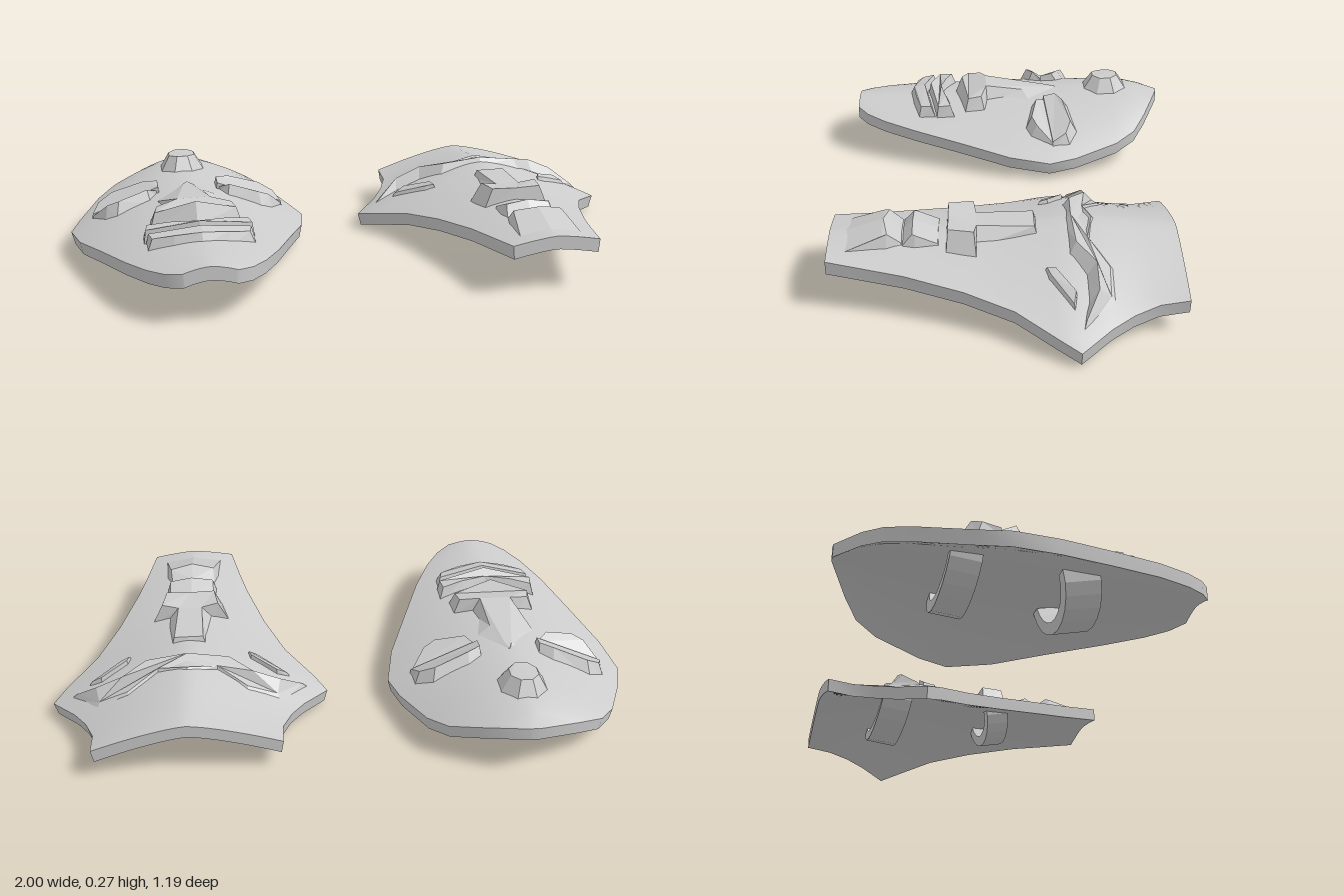
import * as THREE from 'three';
import { toCreasedNormals } from 'three/addons/utils/BufferGeometryUtils.js';

const THICK = 0.045;

function geometryFrom(positions, index) {
  const g = new THREE.BufferGeometry();
  g.setAttribute('position', new THREE.Float32BufferAttribute(positions, 3));
  g.setIndex(index);
  return g;
}

// Height of a mask at (x, z); sections are [z, halfWidth, crestY, edgeY].
function makeSurface(sections, power) {
  const at = z => {
    let i = 0;
    while (i < sections.length - 2 && z > sections[i + 1][0]) i++;
    const a = sections[i], b = sections[i + 1];
    const t = THREE.MathUtils.clamp((z - a[0]) / (b[0] - a[0]), 0, 1);
    return a.map((v, k) => v + (b[k] - v) * t);
  };
  return (x, z) => {
    const [, hw, crest, edge] = at(z);
    const t = Math.min(1, Math.abs(x) / hw);
    return crest + (edge - crest) * Math.pow(t, power);
  };
}

// Curved plate: one closed cross-section loop per section, ends capped.
function shell(sections, surface) {
  const N = 24, loop = 2 * (N + 1), pos = [], idx = [];
  for (const [z, hw] of sections) {
    for (let i = 0; i <= N; i++) {
      const x = hw * (2 * i / N - 1);
      pos.push(x, surface(x, z), z);
    }
    for (let i = N; i >= 0; i--) {
      const x = hw * (2 * i / N - 1);
      pos.push(x * 0.975, surface(x, z) - THICK, z);
    }
  }
  const last = (sections.length - 1) * loop;
  for (let r = 0; r < last; r += loop) {
    for (let i = 0; i < loop; i++) {
      const j = (i + 1) % loop;
      idx.push(r + i, r + loop + i, r + j, r + j, r + loop + i, r + loop + j);
    }
  }
  for (let i = 0; i < N; i++) {
    const bA = loop - 1 - i, bB = bA - 1;
    idx.push(i, i + 1, bA, i + 1, bB, bA);
    idx.push(last + i, last + bA, last + i + 1, last + i + 1, last + bA, last + bB);
  }
  return toCreasedNormals(geometryFrom(pos, idx), 0.7);
}

// Raised feature: base ring [x, z] sunk in the surface, top ring [x, z, height above it].
function relief(surface, base, top) {
  const n = base.length, pos = [], idx = [];
  base.forEach(([x, z]) => pos.push(x, surface(x, z) - 0.012, z));
  top.forEach(([x, z, h]) => pos.push(x, surface(x, z) + h, z));
  const ccw = THREE.ShapeUtils.area(base.map(([x, z]) => new THREE.Vector2(x, -z))) > 0;
  const tri = (a, b, c) => idx.push(a, b, c);
  for (let i = 0; i < n; i++) {
    const j = (i + 1) % n;
    if (ccw) { tri(i, j, n + i); tri(j, n + j, n + i); }
    else { tri(j, i, n + i); tri(n + j, j, n + i); }
  }
  const flat = top.map(([x, z]) => new THREE.Vector2(x, -z));
  for (const [a, b, c] of THREE.ShapeUtils.triangulateShape(flat, [])) {
    const up = THREE.ShapeUtils.area([flat[a], flat[b], flat[c]]) > 0;
    if (up) tri(n + a, n + b, n + c); else tri(n + a, n + c, n + b);
  }
  return geometryFrom(pos, idx);
}

// Half-ring strap hanging under the plate.
function strap(rx, bottom, topY, z, width, tilt) {
  const ry = topY - bottom, s = new THREE.Shape();
  s.absellipse(0, 0, rx, ry, Math.PI, 2 * Math.PI, false);
  s.absellipse(0, 0, rx - 0.04, ry - 0.04, 2 * Math.PI, Math.PI, true);
  const g = new THREE.ExtrudeGeometry(s, { depth: width, bevelEnabled: false, curveSegments: 5 });
  return g.translate(0, 0, -width / 2).rotateX(tilt).translate(0, topY, z);
}

const flipX = points => points.map(([x, ...rest]) => [-x, ...rest]);
// Completes a half outline (running from the middle outwards) across x = 0.
const symmetric = half => [...half, ...flipX(half).reverse().filter(p => p[0] !== 0)];

export function createModel() {
  const model = new THREE.Group();
  const smooth = new THREE.MeshStandardMaterial({ color: 0xcccccc });
  const faceted = new THREE.MeshStandardMaterial({ color: 0xcccccc, flatShading: true });

  function makeMask(name, x, sections, power) {
    const group = new THREE.Group(), surface = makeSurface(sections, power);
    group.name = name;
    group.position.x = x;
    model.add(group);
    const add = (part, geometry, material = faceted) => {
      const mesh = new THREE.Mesh(geometry, material);
      mesh.name = part;
      group.add(mesh);
    };
    add('plate', shell(sections, surface), smooth);
    return {
      add,
      centre: (part, base, top) => add(part, relief(surface, symmetric(base), symmetric(top))),
      pair: (part, base, top) => {
        add('left' + part, relief(surface, base, top));
        add('right' + part, relief(surface, flipX(base), flipX(top)));
      },
      surface,
    };
  }

  // Oval mask
  const oval = makeMask('ovalMask', -0.585, [
    [-0.6, 0.012, 0.205, 0.203], [-0.535, 0.165, 0.22, 0.165], [-0.485, 0.255, 0.227, 0.135],
    [-0.41, 0.315, 0.232, 0.112], [-0.25, 0.385, 0.225, 0.085], [-0.15, 0.415, 0.22, 0.078],
    [0, 0.385, 0.215, 0.092], [0.18, 0.315, 0.207, 0.12], [0.36, 0.245, 0.203, 0.145],
    [0.48, 0.185, 0.2, 0.16], [0.55, 0.135, 0.2, 0.17], [0.59, 0.085, 0.198, 0.18],
  ], 1.6);
  oval.pair('UpperEyelid',
    [[0.1, -0.14], [0.1, -0.21], [0.145, -0.24], [0.275, -0.268], [0.335, -0.235], [0.342, -0.165]],
    [[0.105, -0.14, 0.022], [0.105, -0.185, 0.03], [0.15, -0.21, 0.036], [0.265, -0.235, 0.04], [0.315, -0.215, 0.034], [0.337, -0.165, 0.016]]);
  oval.pair('LowerEyelid',
    [[0.105, -0.145], [0.342, -0.17], [0.295, -0.08], [0.255, -0.06], [0.135, -0.088]],
    [[0.11, -0.142, 0.008], [0.335, -0.165, 0.008], [0.285, -0.105, 0.04], [0.245, -0.088, 0.042], [0.145, -0.11, 0.035]]);
  const ring = (rx, rz, h) => Array.from({ length: 8 }, (_, i) => {
    const a = (i + 0.5) * Math.PI / 4;
    return [rx * Math.cos(a), -0.39 + rz * Math.sin(a), h];
  });
  oval.add('foreheadGem', relief(oval.surface, ring(0.092, 0.098, 0), ring(0.05, 0.052, 0.047)));
  oval.centre('nose',
    [[0, -0.2], [0.035, -0.19], [0.13, -0.1], [0.085, 0.08], [0.15, 0.09], [0.155, 0.17], [0, 0.21]],
    [[0, -0.19, 0.002], [0.012, -0.16, 0.006], [0.045, -0.06, 0.016], [0.055, 0.085, 0.045], [0.125, 0.105, 0.045], [0.135, 0.155, 0.045], [0, 0.18, 0.062]]);
  oval.centre('upperLip',
    [[0, 0.25], [0.09, 0.225], [0.18, 0.205], [0.18, 0.28], [0, 0.315]],
    [[0, 0.265, 0.026], [0.09, 0.245, 0.033], [0.165, 0.225, 0.04], [0.172, 0.272, 0.042], [0, 0.305, 0.04]]);
  oval.centre('lowerLip',
    [[0, 0.315], [0.175, 0.28], [0.175, 0.35], [0.09, 0.375], [0, 0.39]],
    [[0, 0.33, 0.034], [0.165, 0.3, 0.038], [0.155, 0.34, 0.032], [0.085, 0.36, 0.028], [0, 0.372, 0.026]]);
  oval.add('lowerStrap', strap(0.15, 0.018, 0.15, 0.14, 0.12, -0.22));
  oval.add('upperStrap', strap(0.17, 0.04, 0.16, -0.22, 0.1, 0.1));

  // Angular mask with pointed temples
  const angular = makeMask('angularMask', 0.52, [
    [-0.5, 0.31, 0.203, 0.12], [-0.41, 0.312, 0.212, 0.108], [-0.33, 0.345, 0.222, 0.095],
    [-0.26, 0.39, 0.23, 0.08], [-0.165, 0.475, 0.235, 0.058], [-0.1, 0.43, 0.227, 0.078],
    [0.02, 0.335, 0.215, 0.11], [0.17, 0.265, 0.205, 0.135], [0.35, 0.205, 0.205, 0.157],
    [0.45, 0.18, 0.208, 0.165], [0.59, 0.148, 0.2, 0.178],
  ], 1.35);
  angular.centre('brow',
    [[0, -0.25], [0.1, -0.22], [0.2, -0.29], [0.31, -0.29], [0.42, -0.17], [0.32, -0.19], [0.23, -0.19], [0.16, -0.145], [0, -0.14]],
    [[0, -0.23, 0.006], [0.1, -0.21, 0.012], [0.2, -0.27, 0.008], [0.3, -0.265, 0.01], [0.385, -0.185, 0.012], [0.31, -0.228, 0.042], [0.22, -0.228, 0.042], [0.14, -0.172, 0.03], [0, -0.165, 0.013]]);
  angular.pair('LowerEyelid',
    [[0.2, -0.07], [0.21, -0.11], [0.3, -0.165], [0.355, -0.155], [0.24, -0.08]],
    [[0.207, -0.08, 0.012], [0.215, -0.106, 0.016], [0.3, -0.16, 0.018], [0.335, -0.152, 0.012], [0.235, -0.09, 0.014]]);
  angular.centre('nose',
    [[0, -0.06], [0.06, -0.06], [0.085, 0.13], [0.142, 0.13], [0.118, 0.225], [0, 0.225]],
    [[0, -0.05, 0.012], [0.05, -0.05, 0.02], [0.042, 0.13, 0.034], [0.1, 0.138, 0.058], [0.086, 0.218, 0.058], [0, 0.218, 0.04]]);
  angular.centre('upperLip',
    [[0, 0.24], [0.09, 0.24], [0.095, 0.32], [0.085, 0.37], [0, 0.37]],
    [[0, 0.25, 0.002], [0.08, 0.25, 0.004], [0.08, 0.32, 0.034], [0.075, 0.328, 0.034], [0, 0.328, 0.034]]);
  angular.centre('lowerLip',
    [[0, 0.355], [0.085, 0.355], [0.1, 0.41], [0.11, 0.57], [0, 0.58]],
    [[0, 0.365, 0.004], [0.075, 0.365, 0.006], [0.08, 0.405, 0.038], [0.085, 0.42, 0.036], [0, 0.42, 0.036]]);
  angular.add('lowerStrap', strap(0.13, 0.05, 0.16, 0.185, 0.085, -0.2));
  angular.add('upperStrap', strap(0.22, 0.035, 0.15, -0.22, 0.11, 0.12));

  return model;
}
